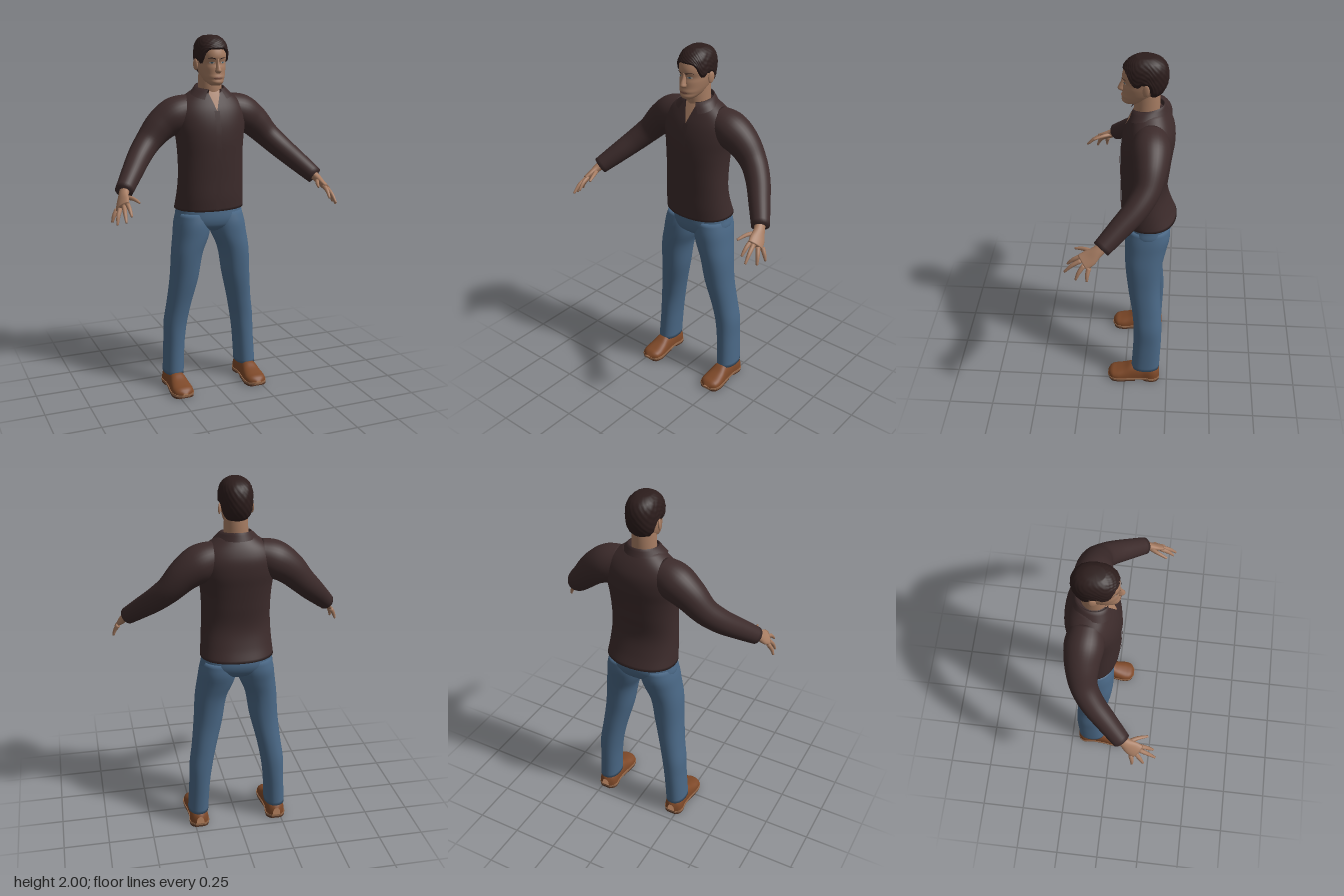
import * as THREE from 'three';
import { mergeVertices } from 'three/addons/utils/BufferGeometryUtils.js';

const colours = {
  skin: 0xa67c62, shirt: 0x3c2b2b, hair: 0x2c1d1c, denim: 0x4a6886, leather: 0x7d4828,
  sole: 0x553626, welt: 0x966a4c, eyeWhite: 0xb5aaa2, iris: 0x45606e, lips: 0x8c5f50,
};
const V = (x, y, z) => new THREE.Vector3(x, y, z);
const pw = (v, e) => Math.sign(v) * Math.abs(v) ** e;

// Smooth lookup of a table whose first column is the key
function table(rows) {
  const n = rows[0].length - 1;
  const it = new THREE.CubicInterpolant(rows.map(r => r[0]), rows.flatMap(r => r.slice(1)), n);
  return k => Array.from(it.evaluate(k));
}

// Surface from a rule fn(u, v) -> Vector3
function grid(nu, nv, fn) {
  const pos = [], idx = [];
  for (let j = 0; j <= nv; j++) for (let i = 0; i <= nu; i++) pos.push(...fn(i / nu, j / nv).toArray());
  for (let j = 0; j < nv; j++) for (let i = 0; i < nu; i++) {
    const a = j * (nu + 1) + i, c = a + nu + 1;
    idx.push(a, a + 1, c, a + 1, c + 1, c);
  }
  let g = new THREE.BufferGeometry();
  g.setAttribute('position', new THREE.Float32BufferAttribute(pos, 3));
  g.setIndex(idx);
  g = mergeVertices(g, 1e-5);
  g.computeVertexNormals();
  return g;
}

// Closed tube: the first and last rows shrink to the middle
function capped(nu, nv, fn) {
  return grid(nu, nv, (u, v) => fn(u * Math.PI * 2,
    THREE.MathUtils.clamp((v * nv - 1) / (nv - 2), 0, 1), v < 1e-6 || v > 1 - 1e-6 ? 0 : 1));
}

// Upright form from rows [y, front z, back z, half width, centre x]
function column(rows, p = 2.2) {
  const at = table(rows.map(r => [r[0], r[1], r[2], r[3], r[4] || 0]));
  const y0 = rows[0][0], y1 = rows[rows.length - 1][0];
  const point = (a, y, off = 0, s = 1) => {
    const [f, b, rx, cx] = at(y);
    return V(cx + s * (rx + off) * pw(Math.sin(a), 2 / p), y,
      (f + b) / 2 + s * ((f - b) / 2 + off) * pw(Math.cos(a), 2 / p));
  };
  const frontZ = (x, y) => {
    const [f, b, rx, cx] = at(y);
    const q = Math.min(1, Math.abs((x - cx) / rx));
    return (f + b) / 2 + (f - b) / 2 * (1 - q ** p) ** (1 / p);
  };
  const geo = (nu = 40, nv = 40) => capped(nu, nv, (a, v, s) => point(a, y0 + (y1 - y0) * v, 0, s));
  return { point, frontZ, geo };
}

// Limb along a path of [x, y, z, radius, second radius]
function limb(pts, nu = 24, nv = 24) {
  const path = new THREE.CatmullRomCurve3(pts.map(p => V(p[0], p[1], p[2])));
  const size = new THREE.CatmullRomCurve3(pts.map((p, i) => V(p[3], p[4] ?? p[3], i)), false, 'catmullrom');
  const ref = V(1, 1, 0).normalize();
  return capped(nu, nv, (a, v, s) => {
    const t = path.getTangent(v), u = t.clone().cross(ref).normalize(), w = t.clone().cross(u), r = size.getPoint(v);
    return path.getPoint(v).addScaledVector(u, s * r.x * Math.cos(a)).addScaledVector(w, s * r.y * Math.sin(a));
  });
}

// Thin plate lying on the front of a column; span(t) gives [left x, right x]
function patch(col, y0, y1, span, off = 0.003) {
  return grid(8, 8, (u, v) => {
    const [l, r] = span(v), x = l + (r - l) * u, y = y0 + (y1 - y0) * v;
    return V(x, y, col.frontZ(x, y) + off);
  });
}
const oval = (cx, w) => t => { const h = w * Math.sqrt(Math.max(0, 1 - (2 * t - 1) ** 2)); return [cx - h, cx + h]; };

export function createModel() {
  const model = new THREE.Group();
  model.name = 'standingMan';
  const mats = {};
  for (const [name, color] of Object.entries(colours)) {
    mats[name] = new THREE.MeshStandardMaterial({ color, side: THREE.DoubleSide });
    mats[name].name = name;
  }
  const add = (name, mat, geo) => {
    const m = new THREE.Mesh(geo, mats[mat]);
    m.name = name;
    model.add(m);
  };
  // Adds the left part and its mirror image
  const pair = (name, mat, geo) => {
    add('left' + name, mat, geo);
    const g = geo.index ? geo.clone() : mergeVertices(geo);
    g.scale(-1, 1, 1);
    const ix = g.index;
    for (let i = 0; i < ix.count; i += 3) {
      const b = ix.getX(i + 1);
      ix.setX(i + 1, ix.getX(i + 2));
      ix.setX(i + 2, b);
    }
    add('right' + name, mat, g);
  };

  // Shirt body, neck opening and placket
  const torso = column([[1.05, .025, -.272, .197], [1.12, .03, -.243, .191], [1.22, .031, -.218, .185],
    [1.35, .034, -.228, .184], [1.45, .034, -.24, .192], [1.53, .025, -.25, .205], [1.6, .006, -.245, .203],
    [1.65, -.016, -.225, .172], [1.68, -.03, -.207, .13], [1.71, -.045, -.185, .085]]);
  add('shirtBody', 'shirt', torso.geo(48, 48));
  add('neckOpening', 'skin', patch(torso, 1.6, 1.705, t => [-.036 * t, .036 * t], .004));
  add('placket', 'shirt', patch(torso, 1.06, 1.6, () => [-.015, .015], .004));

  // Folded collar, open at the front
  add('collar', 'shirt', grid(36, 6, (u, v) => {
    const a = .45 + u * (Math.PI * 2 - .9), f = (1 + Math.cos(a)) / 2;
    const k = v < .4 ? v / .4 : (v - .4) / .6, L = THREE.MathUtils.lerp;
    const top = [.073, .082, 1.745 - .025 * f];
    const other = v < .4 ? [.07, .074, 1.67] : [.1 + .05 * f * f, .104, 1.695 - .04 * f ** 3];
    const [rx, rz, y] = top.map((q, i) => v < .4 ? L(other[i], q, k) : L(q, other[i], k));
    return V(rx * Math.sin(a), y, -.105 + rz * Math.cos(a));
  }));

  // Sleeves
  pair('Sleeve', 'shirt', limb([[.1, 1.6, -.125, .085], [.19, 1.57, -.13, .1], [.27, 1.52, -.132, .088],
    [.35, 1.438, -.118, .071], [.415, 1.37, -.07, .064], [.485, 1.295, .012, .056], [.553, 1.222, .095, .047]], 32, 36));

  // Hands
  pair('Palm', 'skin', limb([[.54, 1.236, .08, .03, .026], [.56, 1.21, .115, .031, .022],
    [.575, 1.183, .15, .042, .018], [.587, 1.163, .185, .043, .015]]));
  const fingers = {
    Thumb: [[.553, 1.2, .13], [.528, 1.2, .175], [.508, 1.188, .228]],
    IndexFinger: [[.563, 1.182, .19], [.562, 1.16, .23], [.56, 1.128, .262]],
    MiddleFinger: [[.58, 1.168, .19], [.588, 1.143, .235], [.593, 1.103, .275]],
    RingFinger: [[.597, 1.153, .175], [.614, 1.12, .2], [.624, 1.08, .217]],
    LittleFinger: [[.607, 1.145, .15], [.625, 1.115, .158], [.636, 1.082, .16]],
  };
  for (const [name, p] of Object.entries(fingers))
    pair(name, 'skin', limb(p.map((q, i) => [...q, [.0125, .0105, .006][i]]), 10, 10));

  // Trousers
  add('trouserSeat', 'denim', column([[.925, -.04, -.17, .07], [.95, -.01, -.215, .16], [.98, .003, -.24, .192],
    [1.04, .003, -.25, .19], [1.1, -.01, -.22, .178]]).geo());
  pair('TrouserLeg', 'denim', column([[.085, -.04, -.203, .057, .224], [.2, -.047, -.207, .057, .218],
    [.28, -.05, -.21, .058, .213], [.385, -.05, -.21, .064, .204], [.49, -.04, -.204, .067, .186],
    [.65, -.015, -.195, .078, .158], [.81, .002, -.205, .087, .138], [.9, .005, -.225, .099, .113],
    [.97, .003, -.24, .1, .102], [1.03, -.01, -.235, .092, .095]]).geo(32, 48));

  // Shoes: upper, welt and two pads underneath
  const foot = table([[-.205, .022, .045], [-.19, .043, .068], [-.1, .047, .08], [-.04, .052, .078],
    [0, .058, .057], [.05, .06, .04], [.083, .045, .03], [.098, .016, .012]]);
  pair('ShoeUpper', 'leather', grid(20, 28, (u, v) => {
    const z = -.205 + .303 * v, [w, h] = foot(z), a = u * Math.PI;
    return V(.224 + w * pw(Math.cos(a), .8), .022 + h * Math.sin(a) ** .8, z);
  }));
  const slab = (z0, z1, grow, top, depth) => {
    const side = [];
    for (let i = 0; i <= 16; i++) { const z = z0 + (z1 - z0) * i / 16; side.push([foot(z)[0] + grow, z]); }
    const pts = [...side.map(([w, z]) => new THREE.Vector2(w, z)),
      ...side.reverse().map(([w, z]) => new THREE.Vector2(-w, z))];
    return new THREE.ExtrudeGeometry(new THREE.Shape(pts), { depth, bevelEnabled: false })
      .rotateX(Math.PI / 2).translate(.224, top, 0);
  };
  pair('ShoeWelt', 'welt', slab(-.205, .099, .004, .024, .012));
  pair('ShoeHeel', 'sole', slab(-.203, -.115, .001, .013, .013));
  pair('ShoeForefoot', 'sole', slab(-.065, .088, .001, .013, .013));

  // Neck and head
  add('neck', 'skin', column([[1.61, -.05, -.16, .066], [1.7, -.034, -.166, .064],
    [1.76, -.035, -.167, .062], [1.81, -.04, -.165, .06]], 2).geo(28, 14));
  const head = column([[1.735, .008, -.04, .022], [1.742, .02, -.065, .034], [1.755, .028, -.1, .046],
    [1.768, .025, -.13, .054], [1.78, .028, -.148, .059], [1.795, .024, -.163, .064], [1.83, .021, -.184, .071],
    [1.852, .016, -.192, .073], [1.885, .025, -.197, .075], [1.92, .018, -.194, .074], [1.95, 0, -.18, .065],
    [1.97, -.025, -.158, .049], [1.983, -.055, -.125, .026]]);
  add('head', 'skin', head.geo(48, 56));
  add('nose', 'skin', column([[1.8, .028, 0, .009], [1.811, .047, 0, .017], [1.828, .044, 0, .013],
    [1.85, .033, 0, .009], [1.878, .024, 0, .006]], 2).geo(16, 18));
  pair('Ear', 'skin', new THREE.SphereGeometry(1, 16, 12).scale(.007, .031, .018)
    .rotateY(-.35).rotateX(-.15).translate(.083, 1.842, -.097));

  // Facial features
  pair('Eye', 'eyeWhite', patch(head, 1.852, 1.862, oval(.031, .014)));
  pair('Iris', 'iris', patch(head, 1.852, 1.862, oval(.031, .006), .004));
  pair('Eyebrow', 'hair', grid(8, 3, (u, v) => {
    const x = .013 + .037 * u, y = 1.873 + .007 * Math.sin(u * 2.4) + .006 * v * (1 - .6 * u);
    return V(x, y, head.frontZ(x, y) + .004);
  }));
  add('mouth', 'lips', patch(head, 1.769, 1.782, oval(0, .024)));

  // Short hair following the skull, lower at the sideburns and nape
  const line = [[0, 1.926], [.5, 1.924], [.8, 1.905], [1.08, 1.85], [1.3, 1.848], [1.5, 1.868],
    [1.75, 1.858], [2, 1.805], [2.3, 1.78], [3.15, 1.768]];
  const hairline = a => {
    const i = line.findIndex(q => q[0] > a), [p, q] = [line[i - 1], line[i]];
    return p[1] + (q[1] - p[1]) * (a - p[0]) / (q[0] - p[0]);
  };
  add('hair', 'hair', grid(72, 28, (u, v) => {
    const a = u * Math.PI * 2, y0 = hairline(Math.min(a, Math.PI * 2 - a));
    const y = y0 + (1.983 - y0) * Math.min(1, v / .96);
    const lump = .0018 * Math.sin(a * 17 + v * 9) * Math.sin(v * 31 + a * 4) * Math.min(1, 4 * (1 - v));
    const p = head.point(a, y, .011 * Math.min(1, v * 7) + lump, v > .99 ? 0 : 1);
    p.y += .012 * v ** 2;
    return p;
  }));

  return model;
}
